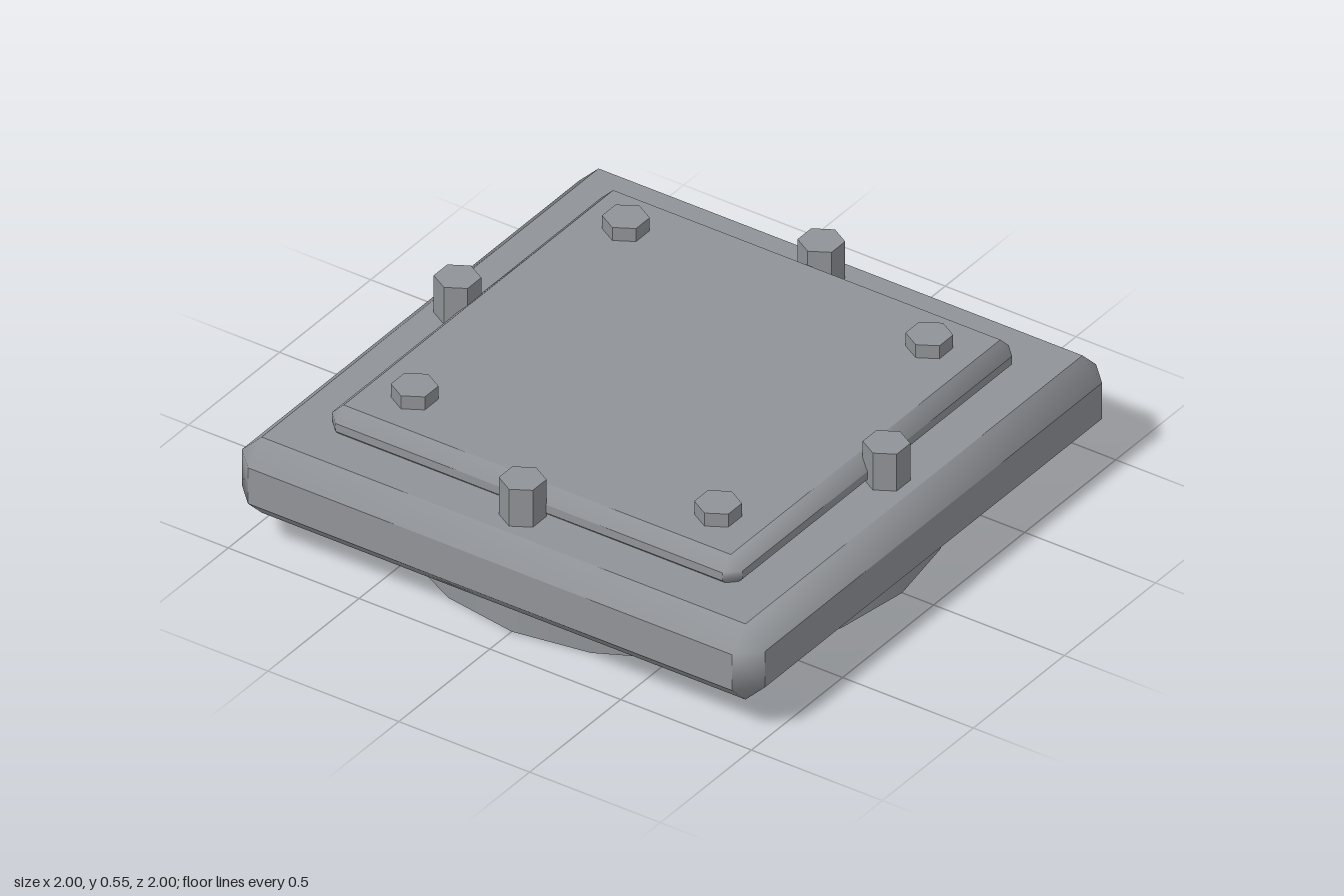
import * as THREE from 'three';
import { ConvexGeometry } from 'three/addons/geometries/ConvexGeometry.js';

const material = new THREE.MeshStandardMaterial({ color: 0x909397 });

// Box with every edge chamfered: the six sides stay flat,
// the chamfers and corner facets blend smoothly into each other.
function chamferedBox(width, height, depth, chamfer) {
  const half = [width / 2, height / 2, depth / 2];
  const points = [];
  for (let axis = 0; axis < 3; axis++)
    for (const sx of [-1, 1]) for (const sy of [-1, 1]) for (const sz of [-1, 1]) {
      const c = [sx, sy, sz].map((s, i) => s * (half[i] - (i === axis ? 0 : chamfer)));
      points.push(new THREE.Vector3(...c));
    }
  const geometry = new ConvexGeometry(points);
  const { position, normal } = geometry.attributes;
  const n = new THREE.Vector3();
  for (let i = 0; i < position.count; i++) {
    n.fromBufferAttribute(normal, i);
    if (Math.max(Math.abs(n.x), Math.abs(n.y), Math.abs(n.z)) > 0.99) continue;
    // Mean of the two chamfers and the corner facet that meet here
    n.set(...half.map((h, a) => {
      const v = position.getComponent(i, a);
      return Math.sign(v) * (Math.abs(v) > h - 1e-4 ? 1.99 : 1.28);
    })).normalize();
    normal.setXYZ(i, n.x, n.y, n.z);
  }
  return geometry;
}

export function createModel() {
  const group = new THREE.Group();
  const add = (name, geometry, x, y, z, mat = material) => {
    const mesh = new THREE.Mesh(geometry, mat);
    mesh.name = name;
    mesh.position.set(x, y, z);
    group.add(mesh);
  };

  // Round foot under the slab
  add('roundBase', new THREE.CylinderGeometry(0.88, 0.88, 0.14, 20), 0, 0.07, 0);

  // Main slab and the thinner plate set into its top
  add('mainSlab', chamferedBox(2, 0.285, 2, 0.075), 0, 0.2635, 0);
  add('topPlate', chamferedBox(1.57, 0.12, 1.57, 0.045), 0, 0.436, 0);

  // Hexagonal bolts: four at the plate corners, four at the edge middles
  const boltMaterial = material.clone();
  boltMaterial.flatShading = true;
  const bolt = new THREE.CylinderGeometry(0.075, 0.075, 0.145, 6);
  for (const s of [-1, 1]) {
    for (const t of [-1, 1]) add('cornerBolt', bolt, s * 0.58, 0.4725, t * 0.58, boltMaterial);
    add('sideBolt', bolt, s * 0.82, 0.4725, 0, boltMaterial);
    add('edgeBolt', bolt, 0, 0.4725, s * 0.82, boltMaterial);
  }
  return group;
}
